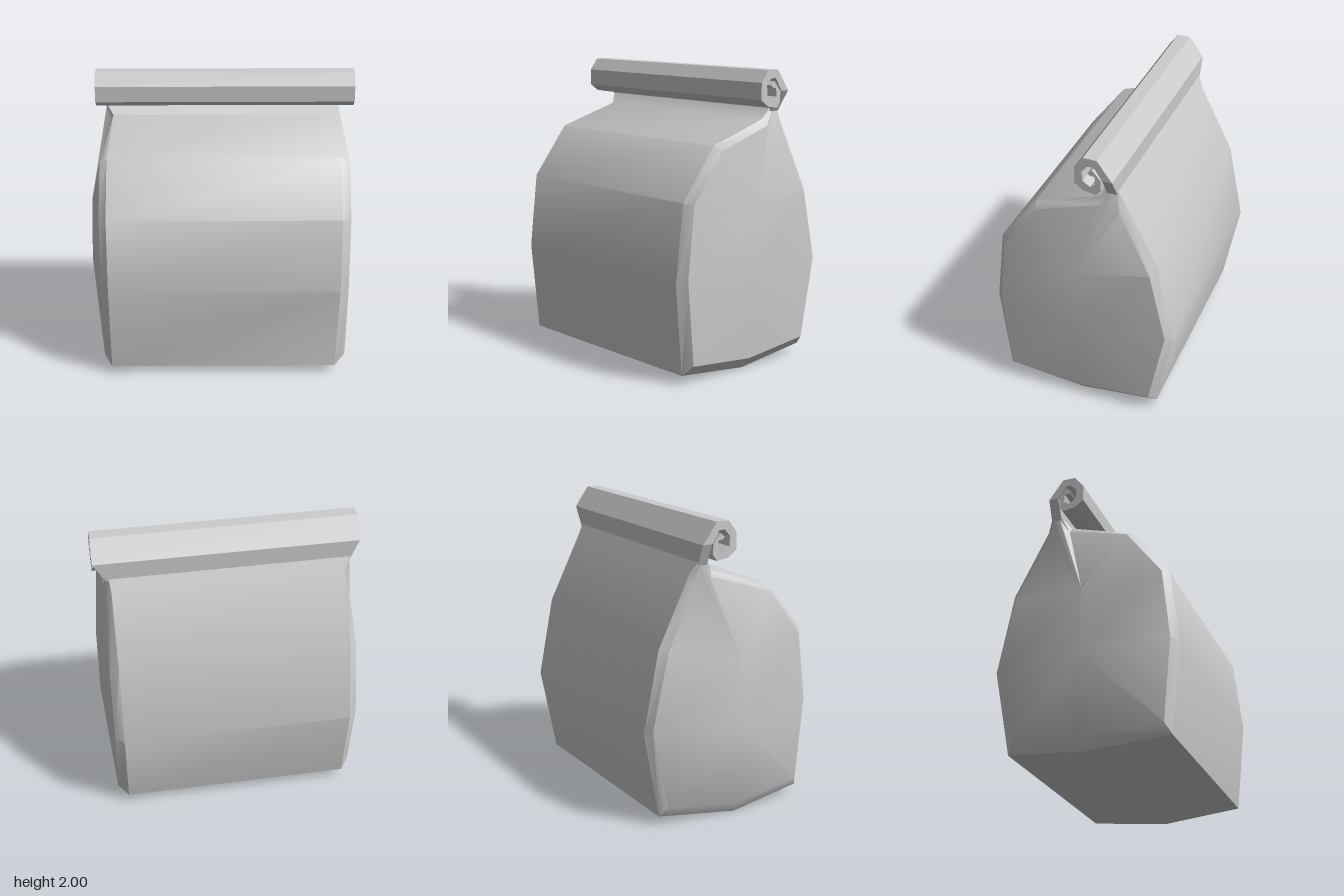
import * as THREE from 'three';
import { toCreasedNormals } from 'three/addons/utils/BufferGeometryUtils.js';

const material = new THREE.MeshStandardMaterial({ color: 0xcccccc, side: THREE.DoubleSide });

// Side profile of the bag, from the bottom crease up the front and down the back:
// outer z, y | inset z, y | left-hand end outer x, inset x | right-hand end outer x, inset x
const profile = [
  [0.03, 0, 0.03, 0.08, -0.82, -0.87, 0.8, 0.87],
  [0.58, 0.06, 0.54, 0.13, -0.76, -0.81, 0.8, 0.87],
  [0.64, 0.68, 0.59, 0.7, -0.76, -0.81, 0.81, 0.87],
  [0.58, 1.19, 0.54, 1.18, -0.76, -0.81, 0.81, 0.87],
  [0.32, 1.53, 0.3, 1.5, -0.76, -0.81, 0.81, 0.87],
  [-0.12, 1.67, -0.13, 1.63, -0.74, -0.76, 0.81, 0.85],
  [-0.18, 1.74, -0.19, 1.72, -0.79, -0.79, 0.82, 0.83],
  [-0.25, 1.74, -0.24, 1.72, -0.79, -0.79, 0.82, 0.83],
  [-0.29, 1.66, -0.27, 1.6, -0.75, -0.77, 0.81, 0.85],
  [-0.52, 1.2, -0.48, 1.17, -0.76, -0.81, 0.81, 0.87],
  [-0.63, 0.65, -0.59, 0.68, -0.76, -0.81, 0.81, 0.87],
  [-0.52, 0.06, -0.48, 0.13, -0.76, -0.81, 0.8, 0.87],
];

function bagGeometry() {
  // Ridge points down the middle of each bulging end
  const ridge = (yi, lowX, highX) => {
    const high = yi > 0.9;
    return new THREE.Vector3(high ? highX : lowX, high ? 1.1 : 0.63, 0.02);
  };
  const rings = [
    profile.map((p) => ridge(p[3], -0.92, -0.9)),
    profile.map((p) => new THREE.Vector3(p[5], p[3], p[2])),
    profile.map((p) => new THREE.Vector3(p[4], p[1], p[0])),
    profile.map((p) => new THREE.Vector3(p[6], p[1], p[0])),
    profile.map((p) => new THREE.Vector3(p[7], p[3], p[2])),
    profile.map((p) => ridge(p[3], 0.92, 0.92)),
  ];
  const positions = [];
  const triangle = (a, b, c) => {
    if (a.equals(b) || b.equals(c) || c.equals(a)) return;
    for (const v of [a, b, c]) positions.push(v.x, v.y, v.z);
  };
  const n = profile.length;
  for (let k = 0; k < rings.length - 1; k++) {
    for (let i = 0; i < n; i++) {
      const j = (i + 1) % n;
      const a = rings[k][i], b = rings[k + 1][i], c = rings[k + 1][j], d = rings[k][j];
      triangle(a, b, c);
      triangle(a, c, d);
    }
  }
  const geometry = new THREE.BufferGeometry();
  geometry.setAttribute('position', new THREE.Float32BufferAttribute(positions, 3));
  return toCreasedNormals(geometry, 0.62);
}

function rollGeometry() {
  // Spiral strip as (z, y): outer face to the inner tip, then back along the inner face
  const outline = [
    [-0.25, 1.72], [-0.25, 1.86], [-0.15, 2], [-0.06, 2], [0, 1.92], [0, 1.81],
    [-0.06, 1.765], [-0.145, 1.75], [-0.175, 1.79], [-0.175, 1.86], [-0.12, 1.925],
    [-0.09, 1.9], [-0.1, 1.885], [-0.135, 1.88], [-0.14, 1.825], [-0.105, 1.8],
    [-0.055, 1.835], [-0.05, 1.9], [-0.09, 1.945], [-0.13, 1.945], [-0.185, 1.86], [-0.18, 1.72],
  ];
  const shape = new THREE.Shape(outline.map(([z, y]) => new THREE.Vector2(z, y)));
  const geometry = new THREE.ExtrudeGeometry(shape, { depth: 1.77, bevelEnabled: false });
  geometry.rotateY(-Math.PI / 2).translate(0.92, 0, 0);
  // Narrow the foot of the strip to meet the neck of the bag
  const pos = geometry.attributes.position;
  for (let i = 0; i < pos.count; i++) {
    if (pos.getY(i) < 1.73) pos.setX(i, pos.getX(i) > 0 ? 0.83 : -0.79);
  }
  geometry.computeVertexNormals();
  return geometry;
}

export function createModel() {
  const model = new THREE.Group();
  model.name = 'rolledTopBag';
  const parts = { bagBody: bagGeometry(), rolledTop: rollGeometry() };
  for (const [name, geometry] of Object.entries(parts)) {
    const mesh = new THREE.Mesh(geometry, material);
    mesh.name = name;
    model.add(mesh);
  }
  return model;
}
